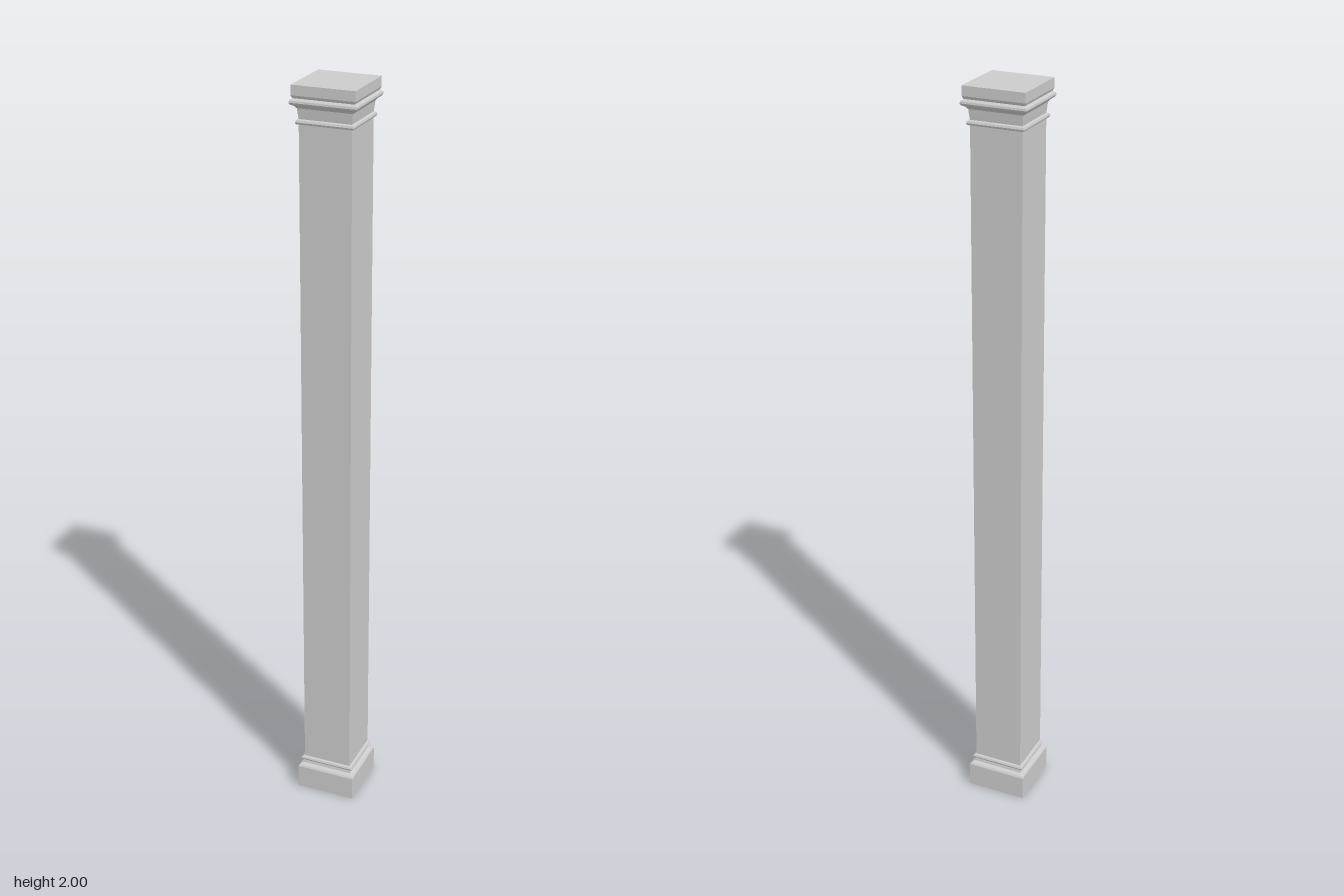
import * as THREE from 'three';

const material = new THREE.MeshStandardMaterial({ color: 0xcccccc, flatShading: true });

// Square turned part: profile is a list of [half width, height], bottom to top
function squareProfile(name, profile) {
  const points = profile.map(([half, y]) => new THREE.Vector2(half * Math.SQRT2, y));
  const lathe = new THREE.LatheGeometry(points, 4);
  lathe.rotateY(Math.PI / 4);
  const geometry = lathe.toNonIndexed();
  geometry.computeVertexNormals();
  const mesh = new THREE.Mesh(geometry, material);
  mesh.name = name;
  return mesh;
}

export function createModel() {
  const pillar = new THREE.Group();
  pillar.name = 'squarePillar';

  // Plinth with a slightly bevelled top edge
  pillar.add(squareProfile('plinth', [
    [0, 0], [0.082, 0], [0.082, 0.066], [0.079, 0.071], [0.071, 0.076], [0, 0.076],
  ]));

  // Base moulding: cove and small bead around the shaft foot
  pillar.add(squareProfile('baseMoulding', [
    [0.071, 0.076], [0.069, 0.085], [0.073, 0.087], [0.075, 0.091],
    [0.073, 0.096], [0.068, 0.098],
  ]));

  // Plain shaft
  pillar.add(squareProfile('shaft', [[0.068, 0.076], [0.068, 1.93]]));

  // Neck bead
  pillar.add(squareProfile('neckBead', [
    [0.068, 1.904], [0.073, 1.905], [0.075, 1.91], [0.073, 1.915], [0.068, 1.917],
  ]));

  // Capital: neck, flaring moulding, projecting lip and top slab
  pillar.add(squareProfile('capital', [
    [0.068, 1.917], [0.069, 1.925], [0.071, 1.943], [0.076, 1.949], [0.083, 1.953],
    [0.086, 1.958], [0.085, 1.963], [0.079, 1.968], [0.082, 1.975], [0.082, 2], [0, 2],
  ]));

  return pillar;
}
